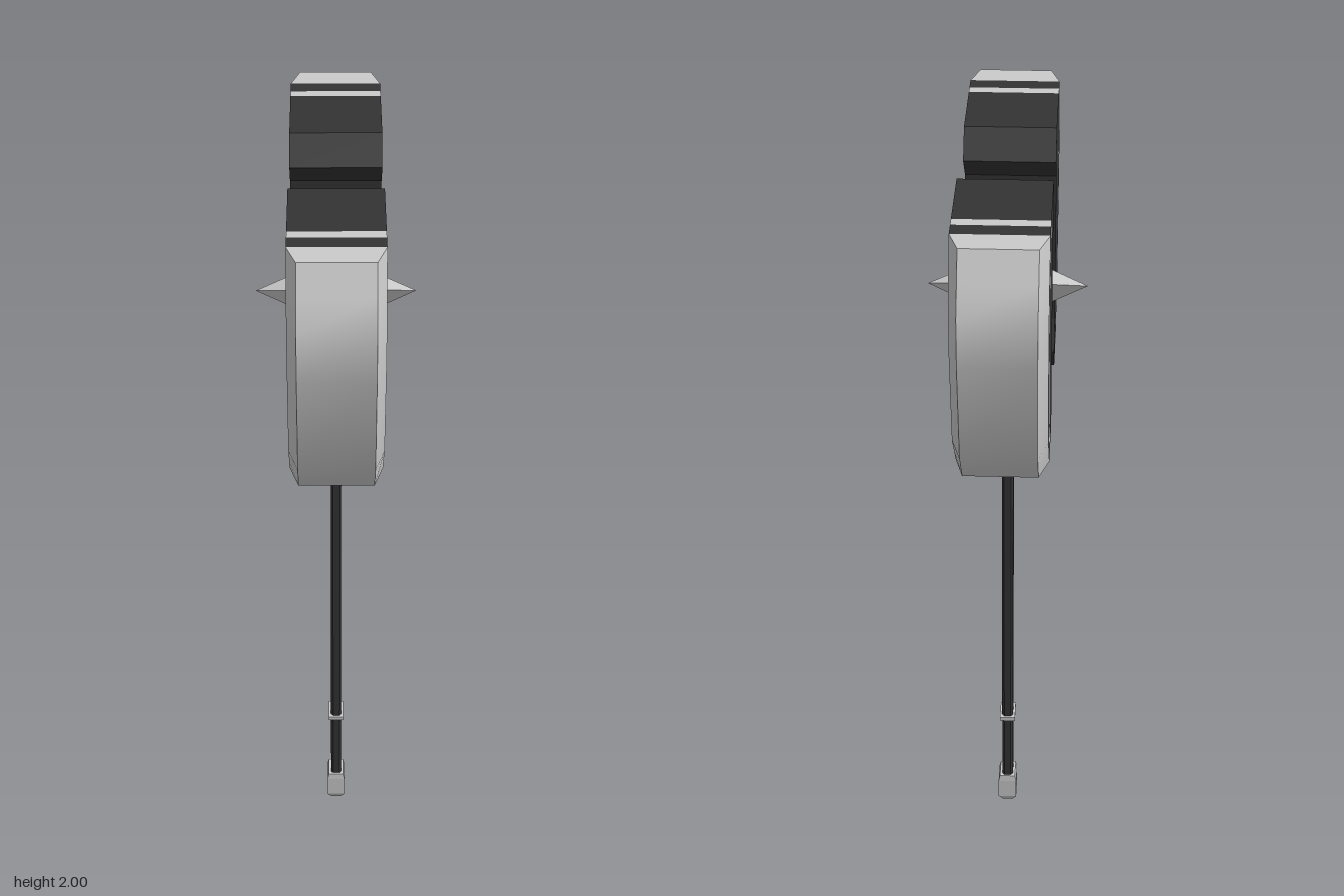
import * as THREE from 'three';
import { toCreasedNormals } from 'three/addons/utils/BufferGeometryUtils.js';

const mat = (name, color) => {
  const m = new THREE.MeshStandardMaterial({ color });
  m.name = name;
  return m;
};

// Box whose bottom and top have their own half widths
function taper(bx, bz, tx, tz, y0, y1) {
  const g = new THREE.BoxGeometry(2, y1 - y0, 2);
  const p = g.attributes.position;
  for (let i = 0; i < p.count; i++) {
    const top = p.getY(i) > 0;
    p.setX(i, p.getX(i) * (top ? tx : bx));
    p.setZ(i, p.getZ(i) * (top ? tz : bz));
  }
  g.translate(0, (y0 + y1) / 2, 0);
  g.computeVertexNormals();
  return g;
}

function prism(points, depth) {
  const shape = new THREE.Shape(points.map(([x, y]) => new THREE.Vector2(x, y)));
  return new THREE.ExtrudeGeometry(shape, { depth, bevelEnabled: false });
}

function flat(geometry) {
  const g = geometry.toNonIndexed();
  g.computeVertexNormals();
  return g;
}

// Slab between two chains of [z, y, halfWidth], listed from top to bottom
function band(a, b, { rim = false, wall = false } = {}) {
  const pos = [];
  const at = (p, s) => [s * p[2], p[1], p[0]];
  const quad = (p, q, r, s) => pos.push(...p, ...q, ...r, ...p, ...r, ...s);
  const n = a.length - 1;
  for (let i = 0; i < n; i++) {
    const j = i + 1;
    quad(at(a[i], 1), at(b[i], 1), at(b[j], 1), at(a[j], 1));
    quad(at(a[j], -1), at(b[j], -1), at(b[i], -1), at(a[i], -1));
    if (rim) quad(at(b[j], -1), at(b[j], 1), at(b[i], 1), at(b[i], -1));
    if (wall) quad(at(a[i], -1), at(a[i], 1), at(a[j], 1), at(a[j], -1));
  }
  quad(at(a[0], -1), at(b[0], -1), at(b[0], 1), at(a[0], 1));
  quad(at(a[n], 1), at(b[n], 1), at(b[n], -1), at(a[n], -1));
  const g = new THREE.BufferGeometry();
  g.setAttribute('position', new THREE.Float32BufferAttribute(pos, 3));
  g.computeVertexNormals();
  return g;
}

export function createModel() {
  const dark = mat('darkIron', 0x333333);
  const silver = mat('silver', 0xcacaca);
  const gold = mat('gold', 0xc98a1e);
  const model = new THREE.Group();
  model.name = 'doubleAxe';
  const add = (name, geometry, material, parent = model) => {
    const mesh = new THREE.Mesh(geometry, material);
    mesh.name = name;
    parent.add(mesh);
    return mesh;
  };

  // Handle
  const shaft = prism([
    [0.009, -0.028], [0.015, -0.021], [0.015, 0.021], [0.009, 0.028],
    [-0.009, 0.028], [-0.015, 0.021], [-0.015, -0.021], [-0.009, -0.028],
  ], 1.3).rotateX(-Math.PI / 2).translate(0, 0.07, 0);
  add('shaft', shaft, dark);
  add('gripRing', taper(0.021, 0.035, 0.021, 0.035, 0.292, 0.304), silver);
  add('pommelTip', taper(0.014, 0.022, 0.025, 0.035, 0, 0.02), silver);
  add('pommel', taper(0.025, 0.035, 0.025, 0.035, 0.02, 0.075), silver);
  add('pommelCap', taper(0.025, 0.035, 0.021, 0.033, 0.075, 0.093), silver);

  // Neck
  add('collar', taper(0.03, 0.034, 0.03, 0.034, 1.33, 1.36), dark);
  add('lowerNeck', taper(0.042, 0.042, 0.048, 0.046, 1.355, 1.382), dark);
  add('neckBand', taper(0.058, 0.047, 0.058, 0.053, 1.382, 1.42), gold);
  add('upperNeck', taper(0.055, 0.051, 0.06, 0.055, 1.42, 1.46), dark);

  // Central block
  const block = prism([
    [-0.055, 1.455], [0.055, 1.455], [0.12, 1.52], [0.12, 1.69],
    [0.075, 1.745], [-0.075, 1.745], [-0.12, 1.69], [-0.12, 1.52],
  ], 0.154).rotateY(-Math.PI / 2).translate(0.077, 0, 0);
  add('headBlock', block, dark);

  // Spikes
  const topSpike = flat(new THREE.ConeGeometry(Math.SQRT2, 0.175, 4).rotateY(Math.PI / 4));
  topSpike.scale(0.038, 1, 0.05).translate(0, 1.8325, 0);
  topSpike.computeVertexNormals();
  add('topSpike', topSpike, silver);
  for (const side of [1, -1]) {
    const spike = flat(new THREE.ConeGeometry(0.063, 0.123, 3)
      .rotateY(Math.PI / 2).rotateZ(-Math.PI / 2).translate(0.1385, 1.643, 0));
    if (side < 0) spike.rotateY(Math.PI);
    add(side > 0 ? 'leftSpike' : 'rightSpike', spike, silver);
  }

  // Blade chains, from the inner wall out to the cutting edge
  const w = 0.115;
  const ys = [2, 1.93, 1.86, 1.735, 1.455, 1.375, 1.325];
  const chain = (...zs) => zs.map((z, i) => [z, ys[i], w]);
  const inner = chain(0.153, 0.102, 0.175, 0.175, 0.175, 0.14, 0.16);
  const stripeIn = chain(0.37, 0.402, 0.434, 0.434, 0.375, 0.295, 0.245);
  const stripeOut = chain(0.4, 0.433, 0.467, 0.467, 0.405, 0.328, 0.28);
  const edgeIn = chain(0.447, 0.48, 0.513, 0.513, 0.445, 0.368, 0.32);
  const e = 0.092;
  const edgeOut = [
    [0.52, 2, e], [0.5575, 1.93, e], [0.595, 1.86, e], [0.595, 1.735, e],
    [0.53, 1.455, e], [0.445, 1.355, e], [0.32, 1.325, w],
  ];

  for (const side of [1, -1]) {
    const blade = new THREE.Group();
    blade.name = side > 0 ? 'frontBlade' : 'backBlade';
    if (side < 0) blade.rotation.y = Math.PI;
    add('bladeBody', band(inner, stripeIn, { wall: true }), dark, blade);
    add('bladeStripe', band(stripeIn, stripeOut), silver, blade);
    add('bladeBorder', band(stripeOut, edgeIn), dark, blade);
    add('cuttingEdge', toCreasedNormals(band(edgeIn, edgeOut, { rim: true }), 0.6), silver, blade);

    // Mount joining the blade to the block
    const plate = new THREE.BoxGeometry(0.16, 0.185, 0.03).translate(0, 1.61, 0.136);
    add('mountBand', plate, gold, blade);
    const mount = taper(0.072, 0.09, 0.085, 0.122, 0, 0.027)
      .rotateX(Math.PI / 2).translate(0, 1.61, 0.15);
    add('bladeMount', mount, dark, blade);
    blade.updateMatrix();
    model.add(blade);
  }
  return model;
}
